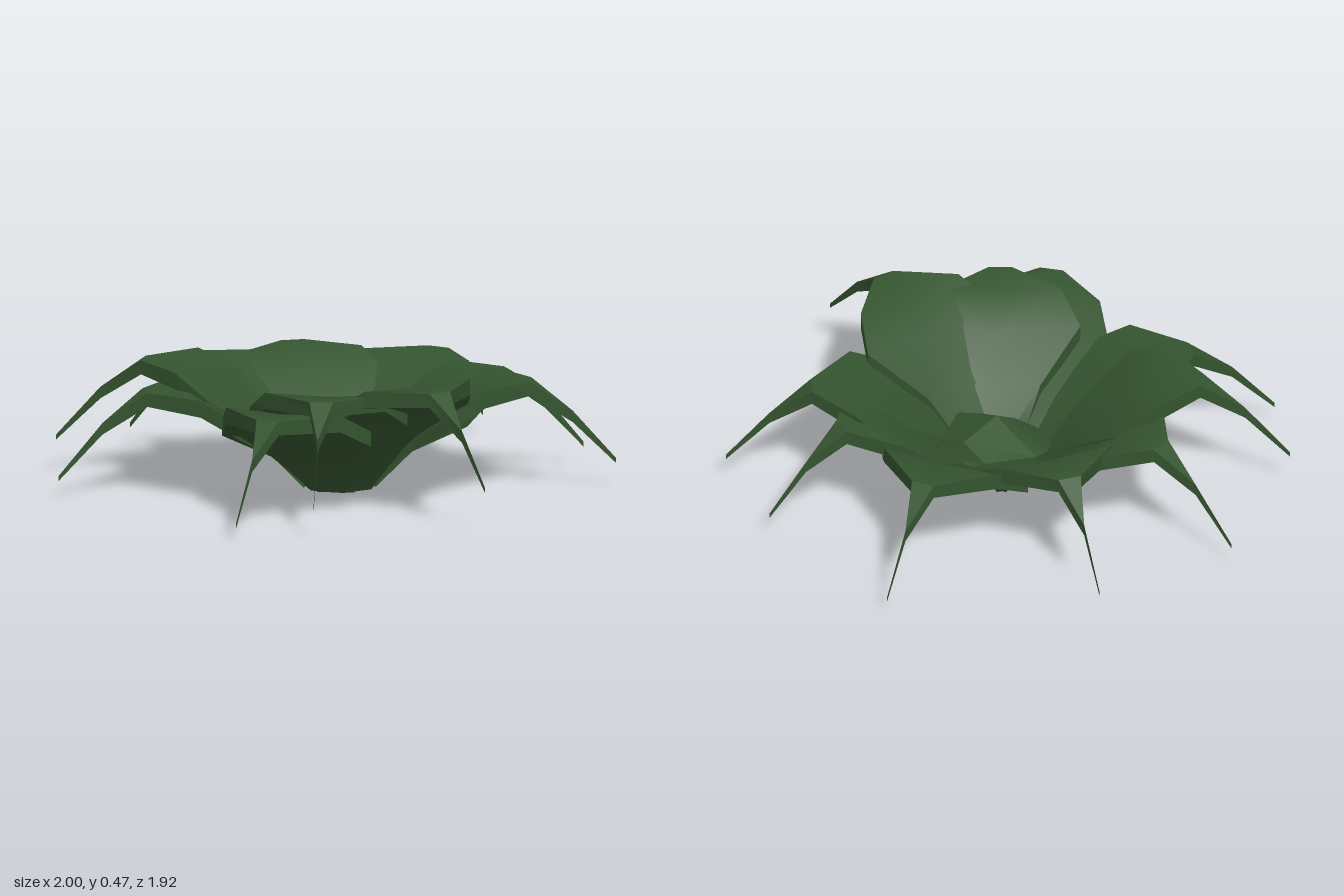
import * as THREE from 'three';
import { toCreasedNormals } from 'three/addons/utils/BufferGeometryUtils.js';

// Lofts a thick, cupped leaf along +x. Row: [reach, edge height, half width, cup depth, thickness]
function leafGeometry(rows) {
  const pos = [], idx = [], n = 6;
  for (const [r, y, w, cup, t] of rows) {
    pos.push(r, y, -w, r, y - cup, 0, r, y, w);
    pos.push(r, y - t, w, r, y - cup - t, 0, r, y - t, -w);
  }
  const last = (rows.length - 1) * n;
  for (let i = 0; i < last; i += n) {
    for (let j = 0; j < n; j++) {
      const a = i + j, b = i + (j + 1) % n, c = b + n, d = a + n;
      idx.push(a, b, c, a, c, d);
    }
  }
  // end caps
  for (const [a, b, c, d] of [[0, 1, 4, 5], [1, 2, 3, 4]]) {
    idx.push(last + a, last + b, last + c, last + a, last + c, last + d);
    idx.push(a, c, b, a, d, c);
  }
  const g = new THREE.BufferGeometry();
  g.setAttribute('position', new THREE.Float32BufferAttribute(pos, 3));
  g.setIndex(idx);
  return toCreasedNormals(g, 0.6);
}

// Broad leaf ending in a drooping, blade-thin spike; h is the crest height, s stretches the reach
const outerRows = (h, s, tipY) => [
  [0.115, 0.04, 0.065, 0, 0.04],
  [0.25 * s, 0.49 * h, 0.137, 0.015, 0.05],
  [0.42 * s, h - 0.08, 0.28, 0.02, 0.055],
  [0.55 * s, h, 0.215, 0.01, 0.06],
  [0.705 * s, h, 0.042, 0, 0.05],
  [0.86 * s, h - 0.11, 0, 0, 0.042],
  [1.02 * s, tipY + 0.01, 0, 0, 0.018],
];

// Small leaf arching over the heart of the rosette, its root poking out at the back
const heartRows = [
  [-0.31, 0.12, 0.02, 0, 0.02],
  [-0.22, 0.14, 0.06, -0.01, 0.02],
  [-0.19, 0.17, 0.11, -0.04, 0.025],
  [-0.03, 0.17, 0.2, -0.08, 0.025],
  [0.06, 0.14, 0.17, -0.06, 0.025],
  [0.16, 0.1, 0.08, -0.02, 0.02],
];

export function createModel() {
  const model = new THREE.Group();
  model.name = 'leafRosette';
  const green = new THREE.MeshStandardMaterial({ color: 0x355430 });
  green.name = 'deep leaf green';

  const add = (name, geometry, degrees = 0) => {
    const mesh = new THREE.Mesh(geometry, green);
    mesh.name = name;
    mesh.rotation.y = -THREE.MathUtils.degToRad(degrees);
    model.add(mesh);
    return mesh;
  };

  // Outer leaves: [direction in degrees, tip reach, crest height, tip height]
  const leaves = [
    [-108, 1.02, 0.37, 0.07],
    [-68, 0.92, 0.375, 0.08],
    [-45, 0.98, 0.39, 0.1],
    [11.7, 1.02, 0.465, 0.17],
    [47.6, 0.945, 0.44, 0.1],
    [61.8, 1.08, 0.385, 0.07],
    [119.7, 1.015, 0.375, 0.07],
    [143.5, 1.02, 0.43, 0.13],
    [174.8, 1.005, 0.38, 0.07],
    [208, 0.98, 0.385, 0.08],
  ];
  leaves.forEach(([angle, reach, h, tipY], i) =>
    add('outerLeaf' + (i + 1), leafGeometry(outerRows(h, reach / 1.02, tipY)), angle));

  // Folded leaf over the heart
  add('heartLeaf', leafGeometry(heartRows), 95);

  // Base joining the leaves
  add('base', toCreasedNormals(new THREE.CylinderGeometry(0.14, 0.12, 0.03, 10), 0.6))
    .position.y = 0.015;

  return model;
}
